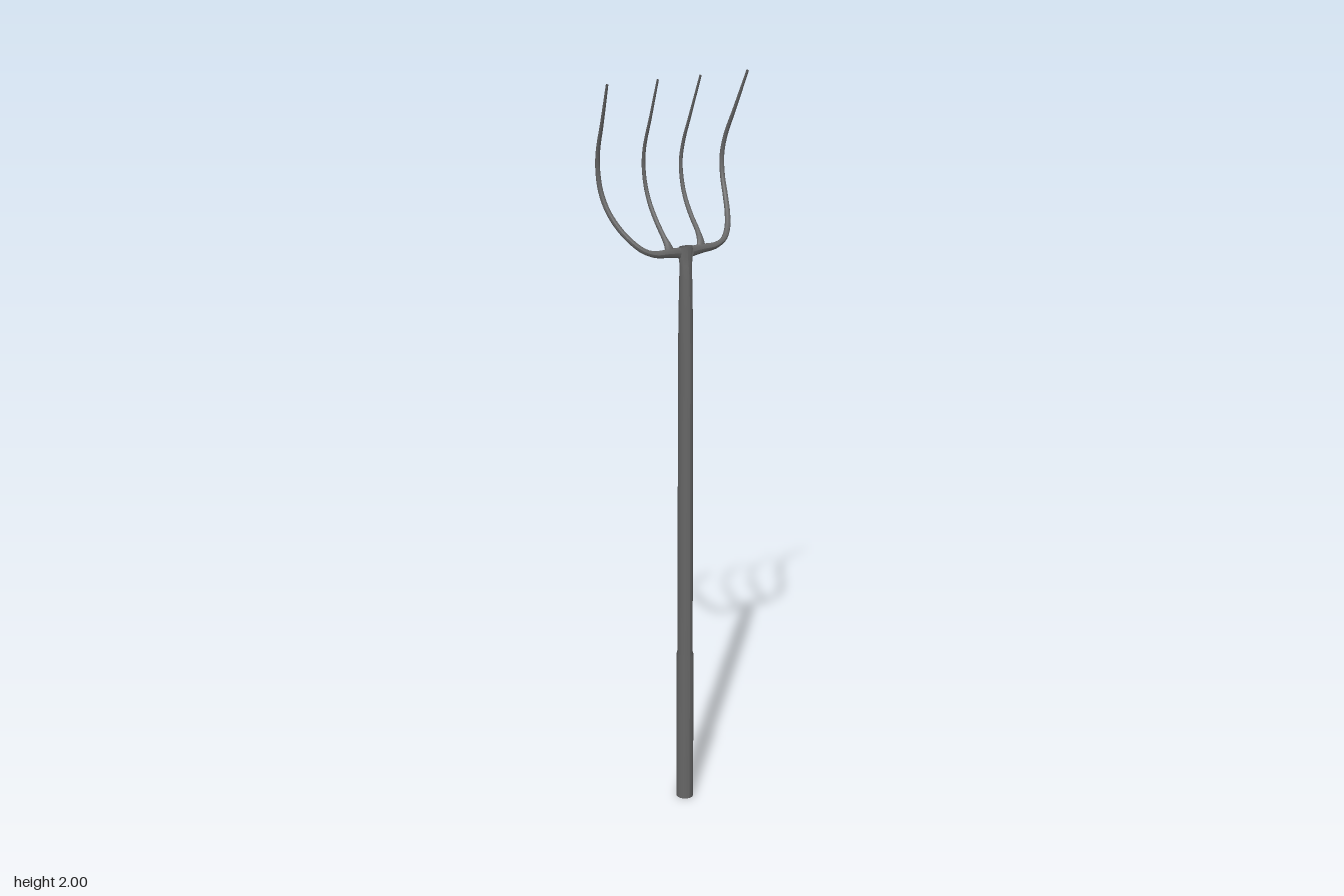
import * as THREE from 'three';

const material = new THREE.MeshStandardMaterial({ color: 0x666666, side: THREE.DoubleSide });
const AXIS_Z = 0.049;

// Tube along a curve whose thickness follows radiusAt(t), flattened in z by flatAt(t)
function taperedTube(name, points, segments, radiusAt, flatAt) {
  const curve = new THREE.CatmullRomCurve3(points.map(p => new THREE.Vector3(...p)), false, 'centripetal');
  const sides = 10;
  const geometry = new THREE.TubeGeometry(curve, segments, 1, sides);
  const pos = geometry.attributes.position;
  const v = new THREE.Vector3();
  for (let i = 0; i <= segments; i++) {
    const t = i / segments;
    const centre = curve.getPointAt(t);
    for (let j = 0; j <= sides; j++) {
      const k = i * (sides + 1) + j;
      v.fromBufferAttribute(pos, k).sub(centre).multiplyScalar(radiusAt(t));
      v.z *= flatAt(t);
      v.add(centre);
      pos.setXYZ(k, v.x, v.y, v.z);
    }
  }
  geometry.computeVertexNormals();
  const mesh = new THREE.Mesh(geometry, material);
  mesh.name = name;
  return mesh;
}

// Hollow shaft lofted through elliptical sections [y, half width, half depth]
function makeShaft() {
  const sections = [
    [0, 0.0235, 0.0245], [0.435, 0.023, 0.0245], [0.445, 0.0195, 0.024], [1.3, 0.0185, 0.0225],
    [1.42, 0.0175, 0.02], [1.5, 0.0165, 0.0175], [1.53, 0.017, 0.0135], [1.55, 0.02, 0.0105], [1.578, 0.0205, 0.0085],
  ];
  const geometry = new THREE.CylinderGeometry(1, 1, 1, 16, sections.length - 1, true);
  const pos = geometry.attributes.position;
  for (let i = 0; i < pos.count; i++) {
    const row = Math.round((pos.getY(i) + 0.5) * (sections.length - 1));
    const [y, rx, rz] = sections[row];
    pos.setXYZ(i, pos.getX(i) * rx, y, pos.getZ(i) * rz + AXIS_Z);
  }
  geometry.computeVertexNormals();
  const mesh = new THREE.Mesh(geometry, material);
  mesh.name = 'shaft';
  return mesh;
}

export function createModel() {
  const group = new THREE.Group();
  group.name = 'pitchfork';
  group.add(makeShaft());

  for (const [side, label] of [[1, 'Left'], [-1, 'Right']]) {
    const mirror = points => points.map(([x, y, z]) => [x * side, y, z]);

    // Outer tine grows out of the socket as half of the crossbar
    const outer = mirror([
      [0.018, 1.563, 0.05], [0.05, 1.566, 0.05], [0.09, 1.568, 0.049], [0.12, 1.579, 0.042],
      [0.145, 1.602, 0.022], [0.165, 1.635, -0.008], [0.178, 1.675, -0.038], [0.184, 1.72, -0.06],
      [0.187, 1.77, -0.068], [0.191, 1.82, -0.06], [0.198, 1.9, -0.026], [0.207, 2, 0.016],
    ]);
    group.add(taperedTube('outerTine' + label, outer, 64,
      t => 0.0078 - 0.0045 * t * t + 0.0065 * Math.max(0, 1 - t / 0.15),
      t => 0.45 + 0.55 * Math.min(1, t / 0.2)));

    // Inner tine, flared where it meets the crossbar
    const inner = mirror([
      [0.046, 1.563, 0.05], [0.049, 1.582, 0.043], [0.052, 1.605, 0.025], [0.053, 1.64, -0.008],
      [0.054, 1.68, -0.037], [0.055, 1.72, -0.054], [0.056, 1.77, -0.062],
      [0.058, 1.82, -0.054], [0.06, 1.9, -0.022], [0.063, 2, 0.018],
    ]);
    group.add(taperedTube('innerTine' + label, inner, 56,
      t => 0.0068 - 0.004 * t + 0.009 * Math.max(0, 1 - t / 0.12) ** 2,
      t => 0.45 + 0.55 * Math.min(1, t / 0.12)));
  }
  return group;
}
